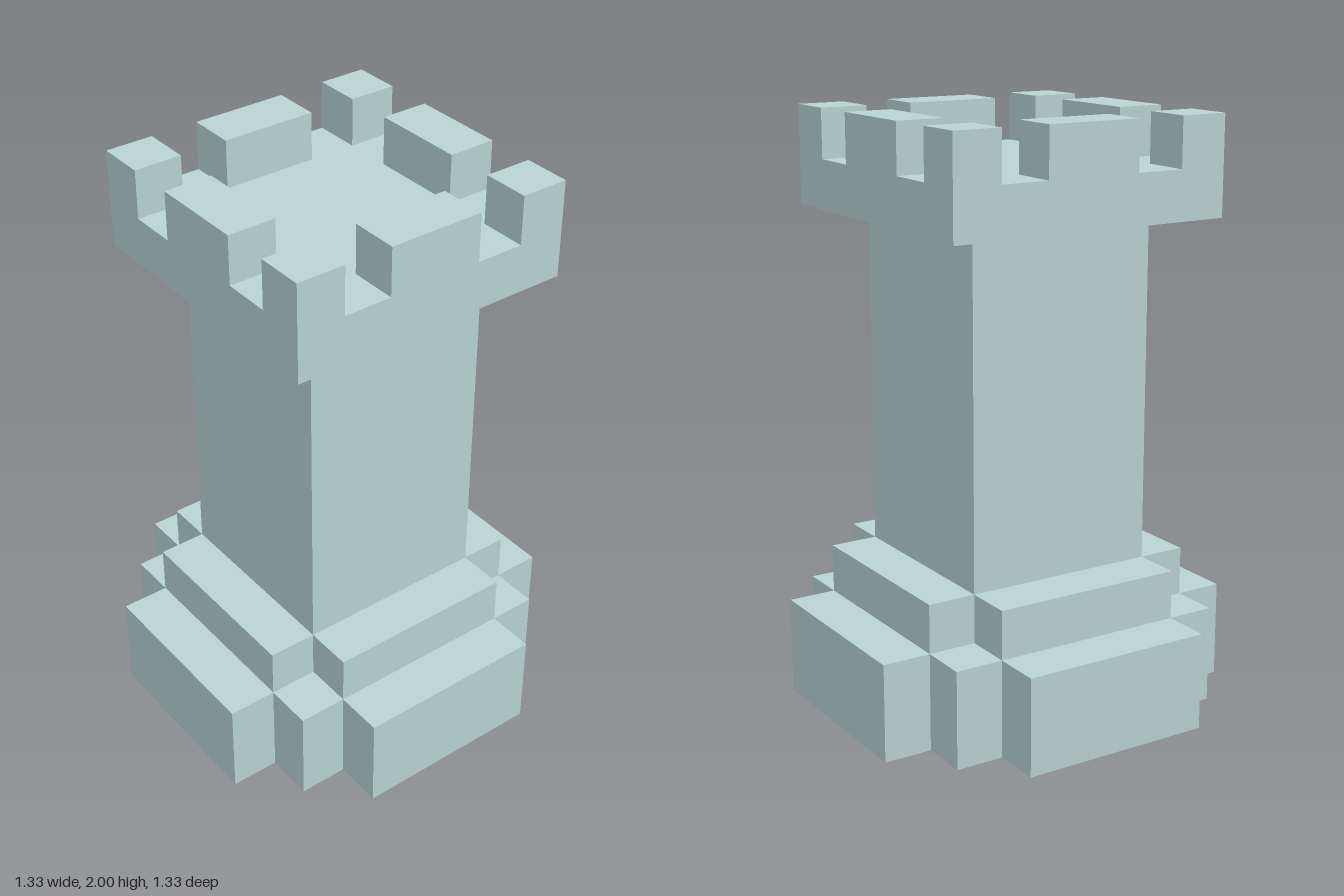
import * as THREE from 'three';

const U = 1 / 6; // every size is a whole number of these units

export function createModel() {
  const tower = new THREE.Group();
  tower.name = 'rookTower';
  const material = new THREE.MeshStandardMaterial({ color: 0xb8d4d2, flatShading: true });

  const add = (name, geometry, parent = tower) => {
    const mesh = new THREE.Mesh(geometry, material);
    mesh.name = name;
    parent.add(mesh);
    return mesh;
  };

  // Box centred on (x, z), standing between two heights
  const block = (name, w, d, y0, y1, x = 0, z = 0, parent = tower) => {
    const mesh = add(name, new THREE.BoxGeometry(w * U, (y1 - y0) * U, d * U), parent);
    mesh.position.set(x * U, ((y0 + y1) / 2) * U, z * U);
    return mesh;
  };

  // Tier with stepped corners: one quarter of the outline, turned four times
  const steppedTier = (name, quarter, y0, y1) => {
    const points = [];
    for (let i = 0; i < 4; i++) {
      for (const [x, y] of quarter) {
        points.push(new THREE.Vector2(x * U, y * U).rotateAround(new THREE.Vector2(), (i * Math.PI) / 2));
      }
    }
    const geometry = new THREE.ExtrudeGeometry(new THREE.Shape(points), { depth: (y1 - y0) * U, bevelEnabled: false });
    geometry.rotateX(-Math.PI / 2).translate(0, y0 * U, 0);
    return add(name, geometry);
  };

  // Foot, shaft and overhanging platform
  steppedTier('base', [[4, -2], [4, 2], [3, 2], [3, 3], [2, 3]], 0, 2);
  steppedTier('plinth', [[3, -2], [3, 2], [2, 2]], 2, 3);
  block('shaft', 4, 4, 3, 10);
  block('platform', 6, 6, 10, 11);

  // Battlements: a square merlon at each corner and a wide one on each side
  const battlements = new THREE.Group();
  battlements.name = 'battlements';
  tower.add(battlements);
  for (const s of [-1, 1]) {
    for (const t of [-1, 1]) block('cornerMerlon', 1, 1, 11, 12, s * 2.5, t * 2.5, battlements);
    block('sideMerlon', 1, 2, 11, 12, s * 2.5, 0, battlements);
    block('sideMerlon', 2, 1, 11, 12, 0, s * 2.5, battlements);
  }

  return tower;
}
